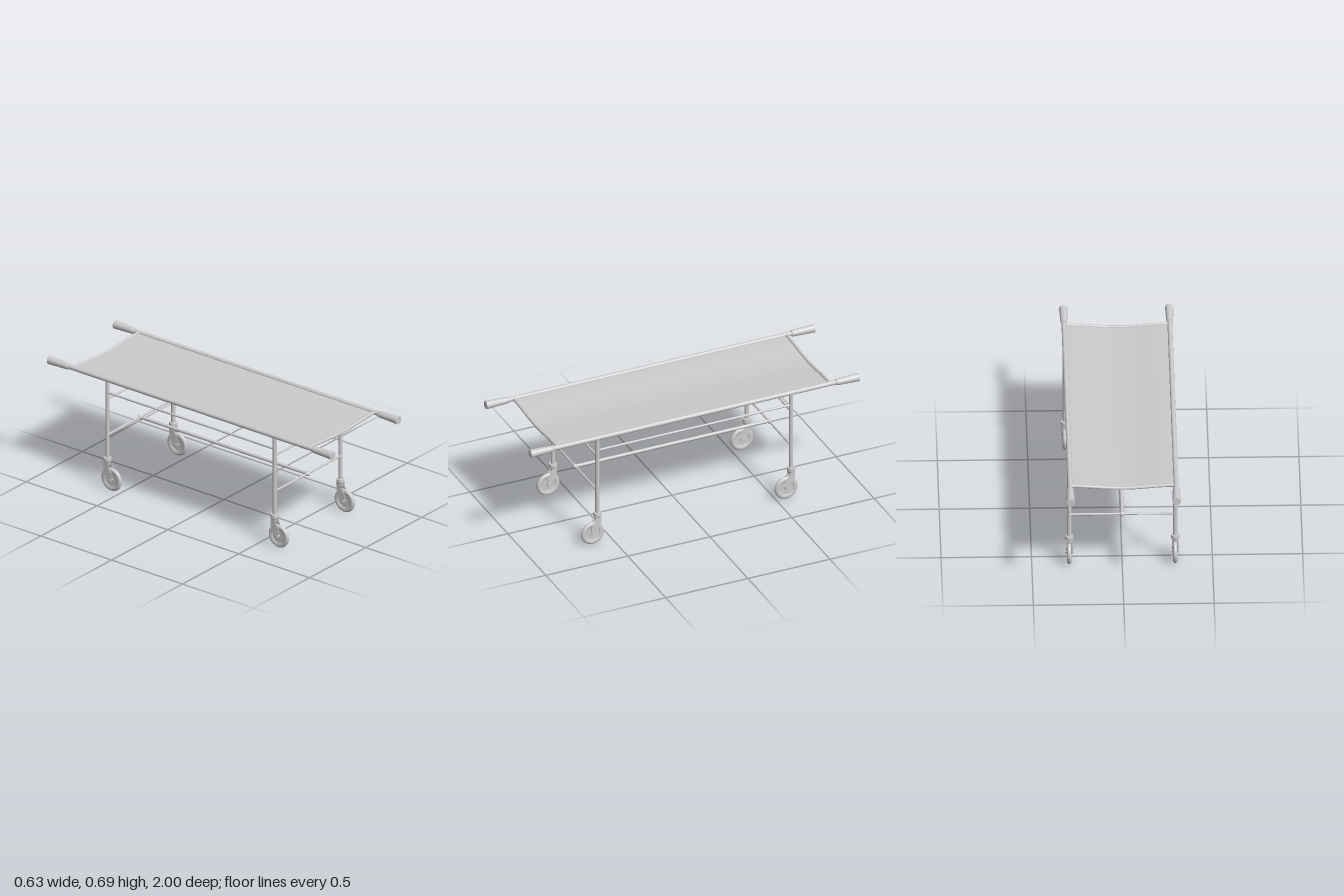
import * as THREE from 'three';

const material = new THREE.MeshStandardMaterial({ color: 0xcccccc });
const sheetMaterial = new THREE.MeshStandardMaterial({ color: 0xcccccc, side: THREE.DoubleSide });

const RAIL_X = 0.293, RAIL_Y = 0.672, LEG_Z = 0.59, END_Z = 0.83;

function add(parent, name, geometry, mat = material) {
  const mesh = new THREE.Mesh(geometry, mat);
  mesh.name = name;
  parent.add(mesh);
  return mesh;
}

// Straight round bar between two points
function bar(parent, name, a, b, r0, r1 = r0, sides = 24) {
  const from = new THREE.Vector3(...a), to = new THREE.Vector3(...b);
  const dir = to.clone().sub(from);
  const mesh = add(parent, name, new THREE.CylinderGeometry(r1, r0, dir.length(), sides));
  mesh.position.copy(from).add(to).multiplyScalar(0.5);
  mesh.quaternion.setFromUnitVectors(new THREE.Vector3(0, 1, 0), dir.normalize());
  return mesh;
}

function lathe(points, segments = 32) {
  return new THREE.LatheGeometry(points.map(([r, y]) => new THREE.Vector2(r, y)), segments);
}

// Height of the sagging canvas across the width
const sag = (x) => 0.6645 - 0.0078 * Math.cos((Math.PI * x) / 0.285);

// Swivel wheel trailing towards +z, built around the leg axis
function createCaster() {
  const caster = new THREE.Group();
  caster.name = 'caster';
  const axleY = 0.072, trail = 0.03;

  // Swivel cap and neck
  add(caster, 'swivelCap', lathe([
    [0, 0.155], [0.0155, 0.155], [0.0165, 0.157], [0.0165, 0.17], [0.0165, 0.17], [0.019, 0.172],
    [0.022, 0.175], [0.023, 0.178], [0.023, 0.194], [0.022, 0.197], [0.022, 0.197], [0, 0.198],
  ]));

  // Tyre with a rounded tread and recessed hub disc
  const profile = [[0, -0.011], [0.013, -0.011], [0.013, -0.011], [0.014, -0.006], [0.014, -0.006],
    [0.039, -0.006], [0.039, -0.006], [0.041, -0.011]];
  for (let i = 0; i <= 12; i++) {
    const t = -Math.PI / 2 + (i / 12) * Math.PI;
    profile.push([0.055 + 0.0138 * Math.cos(t), 0.0122 * Math.sin(t)]);
  }
  profile.push([0.041, 0.011], [0.039, 0.006], [0.039, 0.006], [0.014, 0.006], [0.014, 0.006],
    [0.013, 0.011], [0.013, 0.011], [0, 0.011]);
  const wheel = add(caster, 'wheel', lathe(profile, 48));
  wheel.rotation.z = Math.PI / 2;
  wheel.position.set(0, axleY, trail);

  // Fork plates, drawn in the (z, y) plane
  const plate = new THREE.Shape();
  plate.moveTo(-0.017, 0.172);
  plate.lineTo(-0.016, 0.13);
  plate.lineTo(trail - 0.012, axleY - 0.004);
  plate.absarc(trail, axleY, 0.0125, Math.PI * 1.1, Math.PI * 2, false);
  plate.lineTo(trail - 0.013 + 0.024, 0.115);
  plate.quadraticCurveTo(0.024, 0.142, 0.016, 0.15);
  plate.lineTo(0.016, 0.172);
  plate.closePath();
  const plateGeometry = new THREE.ExtrudeGeometry(plate, { depth: 0.003, bevelEnabled: false, curveSegments: 16 });
  plateGeometry.rotateY(-Math.PI / 2);
  for (const s of [-1, 1]) {
    const mesh = add(caster, 'forkPlate', plateGeometry);
    mesh.position.x = s * 0.0155 + 0.0015;
  }

  // Axle and its nuts
  bar(caster, 'axle', [-0.019, axleY, trail], [0.019, axleY, trail], 0.005);
  for (const s of [-1, 1]) {
    bar(caster, 'axleNut', [s * 0.016, axleY, trail], [s * 0.0215, axleY, trail], 0.008, 0.007, 16);
  }
  return caster;
}

export function createModel() {
  const model = new THREE.Group();
  model.name = 'wheeledStretcher';

  // Side rails and handle grips
  const grip = lathe([
    [0, 0], [0.0145, 0], [0.017, 0.002], [0.0185, 0.008], [0.0195, 0.02], [0.021, 0.07],
    [0.0235, 0.128], [0.024, 0.137], [0.023, 0.14], [0.023, 0.14], [0, 0.14],
  ]);
  for (const sx of [-1, 1]) {
    const x = sx * RAIL_X;
    bar(model, 'sideRail', [x, RAIL_Y, -0.9], [x, RAIL_Y, 0.9], 0.0135);
    for (const sz of [-1, 1]) {
      const handle = add(model, 'handleGrip', grip);
      handle.position.set(x, RAIL_Y, sz * 0.86);
      handle.rotation.x = sz * Math.PI / 2;
    }
    // Long brace just under the canvas
    bar(model, 'sideBrace', [x, 0.594, -LEG_Z], [x, 0.594, LEG_Z], 0.0065);
  }

  // Canvas, sagging between the rails
  const canvas = new THREE.PlaneGeometry(0.572, END_Z * 2, 32, 1);
  canvas.rotateX(-Math.PI / 2);
  const p = canvas.attributes.position;
  for (let i = 0; i < p.count; i++) p.setY(i, sag(p.getX(i)));
  canvas.computeVertexNormals();
  add(model, 'canvas', canvas, sheetMaterial);

  for (const sz of [-1, 1]) {
    // Curved end bar
    const points = [];
    for (let i = 0; i <= 16; i++) {
      const x = -0.285 + (0.57 * i) / 16;
      points.push(new THREE.Vector3(x, sag(x), sz * END_Z));
    }
    add(model, 'endBar', new THREE.TubeGeometry(new THREE.CatmullRomCurve3(points), 40, 0.0095, 16));

    // Legs and casters
    const z = sz * LEG_Z;
    for (const sx of [-1, 1]) {
      const x = sx * RAIL_X;
      bar(model, 'leg', [x, 0.19, z], [x, RAIL_Y, z], 0.0118);
      const caster = createCaster();
      caster.position.set(x, 0, z);
      model.add(caster);
    }

    // Cross bars with end collars
    for (const y of [0.555, 0.335]) {
      bar(model, 'crossBar', [-RAIL_X, y, z], [RAIL_X, y, z], 0.0062);
      for (const sx of [-1, 1]) {
        bar(model, 'crossBarCollar', [sx * 0.284, y, z], [sx * 0.276, y, z], 0.009, 0.0075);
      }
    }
    const knob = add(model, 'centreKnob', new THREE.SphereGeometry(0.0145, 24, 16));
    knob.position.set(0, 0.335, z);
  }

  // Low centre bar linking the two leg frames
  bar(model, 'centreBar', [0, 0.335, -LEG_Z], [0, 0.335, LEG_Z], 0.0095);
  return model;
}
